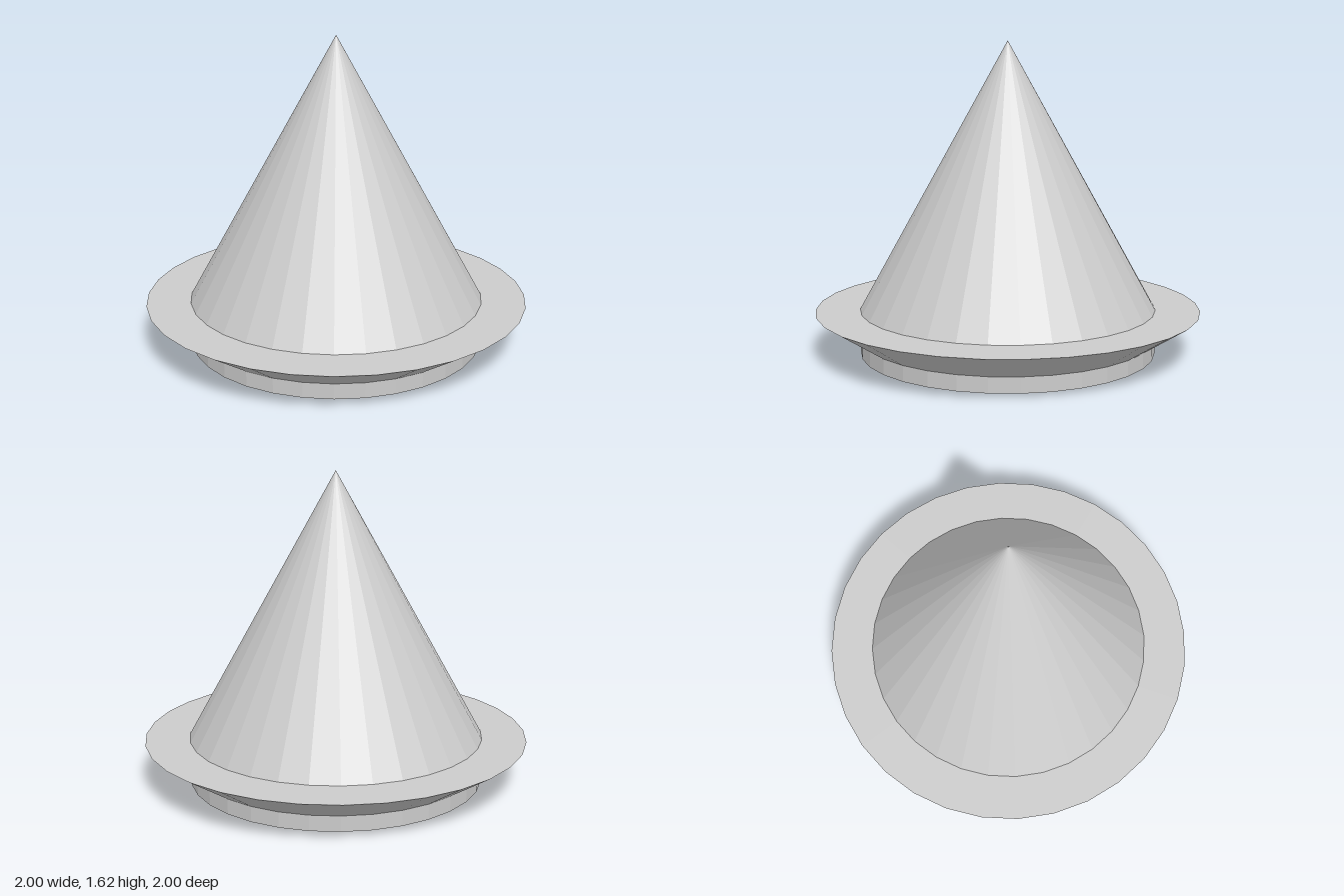
import * as THREE from 'three';

const SIDES = 32;

export function createModel() {
  const group = new THREE.Group();
  group.name = 'brimmedCone';
  const material = new THREE.MeshStandardMaterial({ color: 0xcccccc, flatShading: true });

  // One faceted ring section standing between two heights
  function section(name, bottomRadius, topRadius, bottom, top) {
    const height = top - bottom;
    const geometry = topRadius === 0
      ? new THREE.ConeGeometry(bottomRadius, height, SIDES, 1, true)
      : new THREE.CylinderGeometry(topRadius, bottomRadius, height, SIDES);
    const mesh = new THREE.Mesh(geometry, material);
    mesh.name = name;
    mesh.position.y = bottom + height / 2;
    group.add(mesh);
  }

  section('base', 0.77, 0.77, 0, 0.08);       // short straight foot
  section('brim', 0.77, 1, 0.08, 0.23);       // outward flare with a flat top
  section('cone', 0.77, 0, 0.23, 1.615);      // pointed body

  return group;
}
